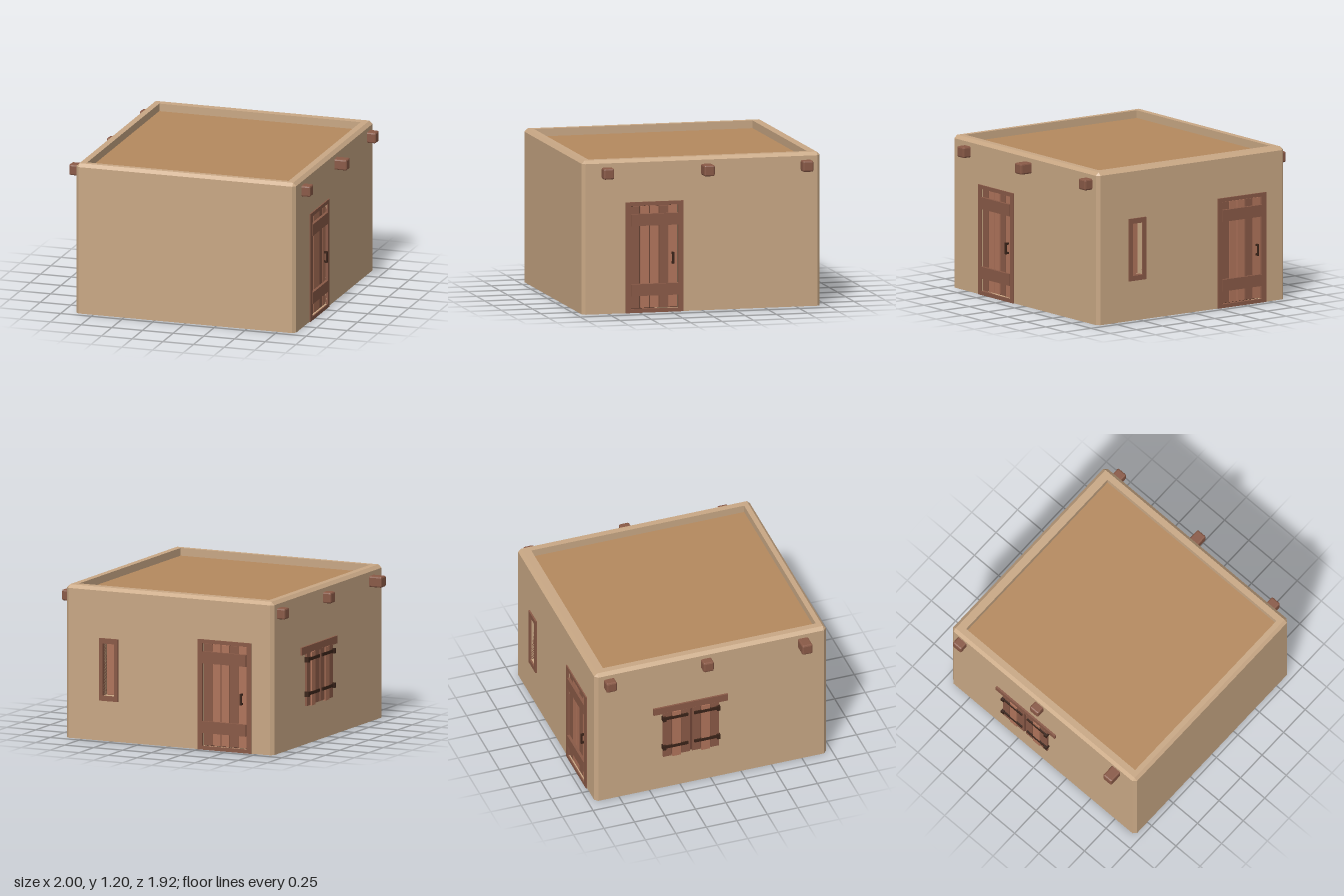
import * as THREE from 'three';
import { RoundedBoxGeometry } from 'three/addons/geometries/RoundedBoxGeometry.js';

const mat = (color) => new THREE.MeshStandardMaterial({ color, flatShading: true });
const clay = mat(0xc9a885), earth = mat(0xb5895e);
const wood = mat(0x8a5a47), lightWood = mat(0xb0745b), darkWood = mat(0x6e4436), iron = mat(0x3a2318);

const HX = 0.895, HZ = 0.95, H = 1.2, C = 0.025, T = 0.06;

function add(parent, name, geometry, material, x = 0, y = 0, z = 0) {
  const mesh = new THREE.Mesh(geometry, material);
  mesh.name = name;
  mesh.position.set(x, y, z);
  parent.add(mesh);
  return mesh;
}

// box given by its limits
function block(parent, name, material, x0, x1, y0, y1, z0, z1) {
  return add(parent, name, new THREE.BoxGeometry(x1 - x0, y1 - y0, z1 - z0), material,
    (x0 + x1) / 2, (y0 + y1) / 2, (z0 + z1) / 2);
}

const corners = (x0, x1, y0, y1) =>
  [[x0, y0], [x1, y0], [x1, y1], [x0, y1]].map(([x, y]) => new THREE.Vector2(x, y));

// rectangular plate with rectangular holes, from z0 to z1
function plate(parent, name, material, rect, holes, z0, z1) {
  const shape = new THREE.Shape(corners(...rect));
  for (const h of holes) shape.holes.push(new THREE.Path(corners(...h).reverse()));
  const geo = new THREE.ExtrudeGeometry(shape, { depth: z1 - z0, bevelEnabled: false });
  return add(parent, name, geo, material, 0, 0, z0);
}

// horizontal rectangle with cut corners, running front, right, back, left
function loop(x, zf, zb, c, y) {
  return [[-x + c, zf], [x - c, zf], [x, zf - c], [x, zb + c],
    [x - c, zb], [-x + c, zb], [-x, zb + c], [-x, zf - c]].map(([px, pz]) => [px, y, pz]);
}

// surface through successive loops
function loft(loops) {
  const pos = [];
  for (let k = 0; k + 1 < loops.length; k++) {
    const a = loops[k], b = loops[k + 1];
    for (let i = 0; i < a.length; i++) {
      const j = (i + 1) % a.length;
      pos.push(...a[i], ...a[j], ...b[j], ...a[i], ...b[j], ...b[i]);
    }
  }
  const geo = new THREE.BufferGeometry();
  geo.setAttribute('position', new THREE.Float32BufferAttribute(pos, 3));
  geo.computeVertexNormals();
  return geo;
}

// side of the house: local x to the viewer's right, z outwards from the wall face
function side(parent, name, angle, halfWidth, distance, holes) {
  const g = new THREE.Group();
  g.name = name;
  g.rotation.y = angle;
  g.position.set(Math.sin(angle) * distance, 0, Math.cos(angle) * distance);
  parent.add(g);
  plate(g, name + 'Panel', clay, [-halfWidth + C, halfWidth - C, 0, H - C], holes, -T, 0);
  return g;
}

const doorHole = (x) => [x - 0.19, x + 0.19, 0.03, 0.835];
const slitHole = (x) => [x - 0.05, x + 0.05, 0.355, 0.765];

function door(parent, x) {
  const g = new THREE.Group();
  g.name = 'door';
  g.position.x = x;
  parent.add(g);
  plate(g, 'doorFrame', wood, [-0.23, 0.23, 0, 0.865], [doorHole(0)], -0.03, 0.01);
  block(g, 'doorBacking', iron, -0.2, 0.2, 0.02, 0.845, -0.04, -0.025);
  // five planks in two tones
  [wood, lightWood, lightWood, wood, lightWood].forEach((m, i) => {
    const cx = (i - 2) * 0.075;
    block(g, 'doorPlank', m, cx - 0.034, cx + 0.034, 0.036, 0.829, -0.03, -0.007);
  });
  for (const y of [0.178, 0.725])
    block(g, 'doorCrossbar', wood, -0.188, 0.188, y - 0.046, y + 0.046, -0.02, 0.015);
  // handle with two mounts
  block(g, 'doorHandle', iron, 0.139, 0.153, 0.375, 0.465, 0.01, 0.022);
  for (const y of [0.383, 0.457])
    block(g, 'handleMount', iron, 0.139, 0.153, y - 0.008, y + 0.008, -0.01, 0.012);
}

function slitWindow(parent, x) {
  const g = new THREE.Group();
  g.name = 'slitWindow';
  g.position.x = x;
  parent.add(g);
  plate(g, 'slitFrame', wood, [-0.08, 0.08, 0.315, 0.805], [slitHole(0)], -0.07, 0.013);
  block(g, 'slitBack', lightWood, -0.06, 0.06, 0.34, 0.78, -0.08, -0.065);
}

function shutters(parent, x) {
  const g = new THREE.Group();
  g.name = 'shutteredWindow';
  g.position.x = x;
  parent.add(g);
  block(g, 'lintel', wood, -0.305, 0.305, 0.71, 0.77, -0.01, 0.015);
  block(g, 'shutterBacking', darkWood, -0.225, 0.225, 0.31, 0.715, -0.01, 0.006);
  for (const s of [-1, 1]) {
    // three uneven planks per shutter
    [0.044, 0.119, 0.194].forEach((cx, i) => {
      const drop = [0.01, 0, 0.006][i];
      block(g, 'shutterPlank', i === 1 ? lightWood : wood, s * cx - 0.034, s * cx + 0.034,
        0.295 + drop, 0.715, -0.01, 0.016 + (i % 2) * 0.006);
    });
    // iron straps with hinge knuckles
    for (const y of [0.395, 0.665]) {
      block(g, 'strap', iron, s * 0.125 - 0.1, s * 0.125 + 0.1, y - 0.012, y + 0.012, 0, 0.027);
      block(g, 'hinge', iron, s * 0.222 - 0.013, s * 0.222 + 0.013, y - 0.02, y + 0.02, 0, 0.036);
    }
  }
}

export function createModel() {
  const house = new THREE.Group();
  house.name = 'adobeHouse';
  house.position.z = 0.005;

  // walls with their openings
  side(house, 'frontWall', 0, HX, HZ, []);
  const left = side(house, 'leftWall', Math.PI / 2, HZ, HX, [doorHole(-0.376)]);
  const back = side(house, 'backWall', Math.PI, HX, HZ, [doorHole(0.48), slitHole(-0.52)]);
  const right = side(house, 'rightWall', -Math.PI / 2, HZ, HX, []);
  door(left, -0.376);
  door(back, 0.48);
  slitWindow(back, -0.52);
  shutters(right, -0.17);

  // chamfered corners
  for (const sx of [-1, 1]) for (const sz of [-1, 1])
    add(house, 'cornerPost', new THREE.CylinderGeometry(C, C, H - C, 4), clay,
      sx * (HX - C), (H - C) / 2, sz * (HZ - C));

  // parapet, sunken roof and underside
  const inner = (y) => loop(0.82, 0.885, -0.86, 0, y);
  add(house, 'parapet', loft([loop(HX, HZ, -HZ, C, H - C),
    loop(HX - C, HZ - C, -HZ + C, 0, H), inner(H), inner(H - 0.06)]), clay);
  add(house, 'roof', loft([inner(H - 0.06), loop(0, 0, 0, 0, H - 0.06)]), earth);
  add(house, 'underside', loft([loop(0, 0, 0, 0, 0), loop(HX, HZ, -HZ, C, 0)]), clay);

  // roof beam ends: z, reach on the left, reach on the right
  for (const [z, l, r] of [[0.755, 0.965, 1], [-0.04, 0.995, 0.96], [-0.835, 0.965, 0.96]])
    for (const [s, reach] of [[1, l], [-1, r]]) {
      const len = reach - 0.84;
      add(house, 'roofBeam', new RoundedBoxGeometry(len, 0.086, 0.086, 1, 0.012), wood,
        s * (0.84 + len / 2), 1.1, z);
    }

  const model = new THREE.Group();
  model.name = 'model';
  model.add(house);
  return model;
}
